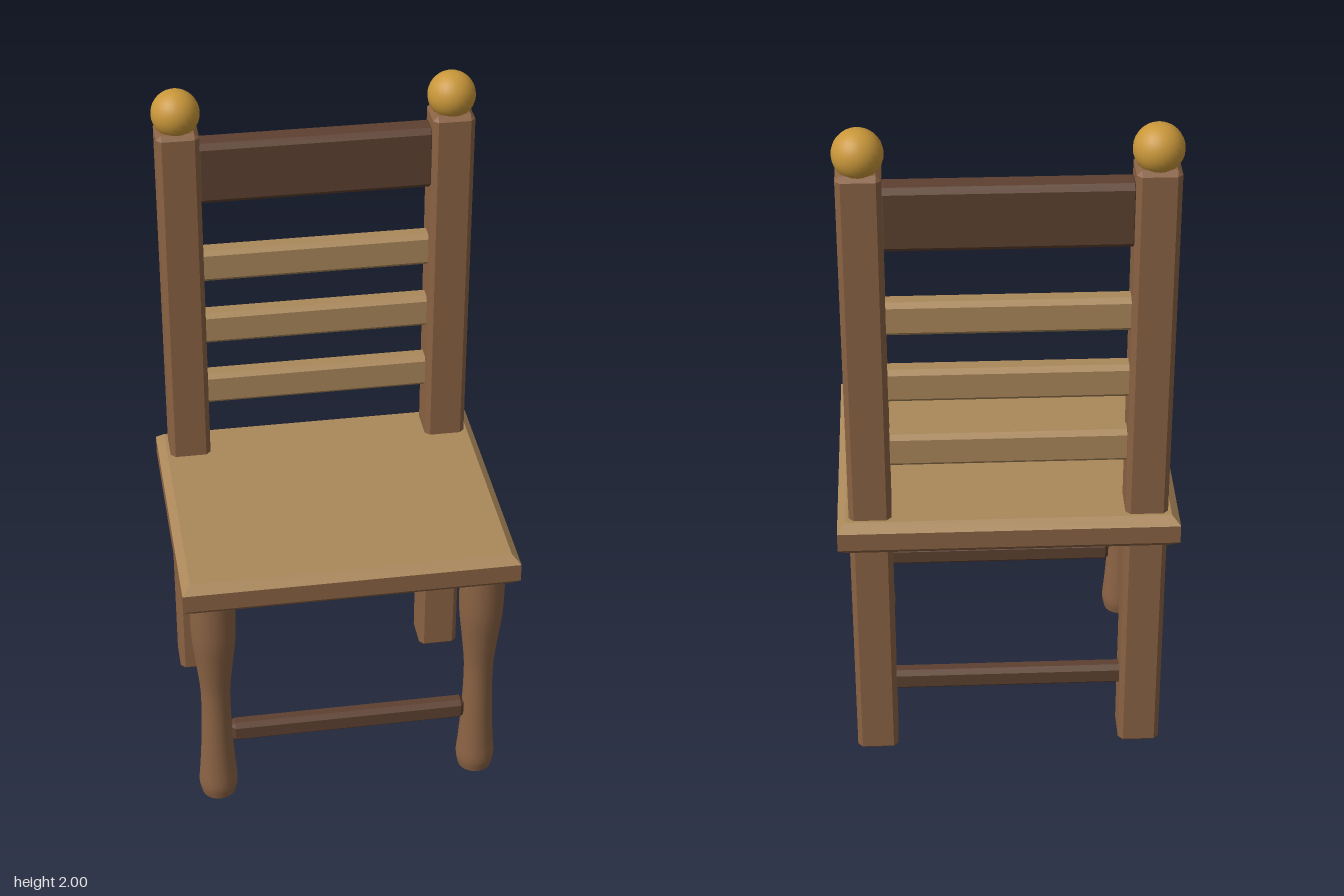
import * as THREE from 'three';
import { ConvexGeometry } from 'three/addons/geometries/ConvexGeometry.js';

const mat = (name, color) => {
  const m = new THREE.MeshStandardMaterial({ color });
  m.name = name;
  return m;
};

// Box with all edges chamfered by c
function chamferBox(w, h, d, c) {
  const pts = [];
  for (const x of [-w / 2, w / 2]) for (const y of [-h / 2, h / 2]) for (const z of [-d / 2, d / 2]) {
    const [sx, sy, sz] = [x, y, z].map(v => Math.sign(v) * c);
    pts.push(
      new THREE.Vector3(x, y - sy, z - sz),
      new THREE.Vector3(x - sx, y, z - sz),
      new THREE.Vector3(x - sx, y - sy, z));
  }
  return new ConvexGeometry(pts);
}

// Seat slab with mitred bevels; upward faces use material 0, the rest material 1
function seatGeometry() {
  const pts = [];
  for (const [y, inset] of [[0.727, 0.024], [0.751, 0], [0.806, 0], [0.83, 0.024]])
    for (const sx of [-1, 1]) for (const sz of [-1, 1])
      pts.push(new THREE.Vector3(sx * (0.48 - inset), y, sz * (0.4 - inset)));
  const geo = new ConvexGeometry(pts);
  const normals = geo.attributes.normal;
  const top = [], rest = [];
  for (let i = 0; i < normals.count; i += 3)
    (normals.getY(i) > 0.3 ? top : rest).push(i, i + 1, i + 2);
  geo.setIndex([...top, ...rest]);
  geo.addGroup(0, top.length, 0);
  geo.addGroup(top.length, rest.length, 1);
  return geo;
}

export function createModel() {
  const group = new THREE.Group();
  group.name = 'chair';
  const brown = mat('brown wood', 0x8b6344);
  const dark = mat('dark wood', 0x5e4130);
  const tan = mat('light wood', 0xab885a);
  const gold = mat('gold', 0xc9973a);

  const add = (name, geo, material, x, y, z) => {
    const mesh = new THREE.Mesh(geo, material);
    mesh.name = name;
    mesh.position.set(x, y, z);
    group.add(mesh);
  };

  add('seat', seatGeometry(), [tan, brown], 0, 0, 0);

  // Turned front leg: smooth side with flat end discs
  const curve = new THREE.CatmullRomCurve3([
    [0.05, 0.003], [0.057, 0.04], [0.053, 0.1], [0.047, 0.2], [0.043, 0.38],
    [0.052, 0.48], [0.063, 0.58], [0.065, 0.64], [0.065, 0.74],
  ].map(([r, y]) => new THREE.Vector3(r, y, 0)));
  const profile = curve.getPoints(32).map(p => new THREE.Vector2(p.x, p.y));
  const leg = new THREE.LatheGeometry(profile, 24);
  const foot = new THREE.CircleGeometry(0.05, 24).rotateX(Math.PI / 2);

  const post = chamferBox(0.12, 1.89, 0.12, 0.014);
  const ball = new THREE.SphereGeometry(0.068, 24, 16);
  for (const [side, s] of [['left', 1], ['right', -1]]) {
    add(side + 'FrontLeg', leg, brown, s * 0.39, 0, 0.31);
    add(side + 'FrontFoot', foot, brown, s * 0.39, 0.003, 0.31);
    add(side + 'BackPost', post, brown, s * 0.387, 0.945, -0.308);
    add(side + 'Finial', ball, gold, s * 0.387, 1.932, -0.31);
  }

  // Back rail and slats
  add('topRail', chamferBox(0.68, 0.185, 0.08, 0.015), dark, 0, 1.753, -0.31);
  const slat = chamferBox(0.68, 0.1, 0.06, 0.013);
  [1.037, 1.245, 1.453].forEach((y, i) => add('backSlat' + (i + 1), slat, tan, 0, y, -0.31));

  // Stretchers between the legs
  const stretcher = chamferBox(0.7, 0.065, 0.05, 0.013);
  add('frontStretcher', stretcher, dark, 0, 0.228, 0.31);
  add('backStretcher', stretcher, dark, 0, 0.228, -0.31);

  return group;
}
